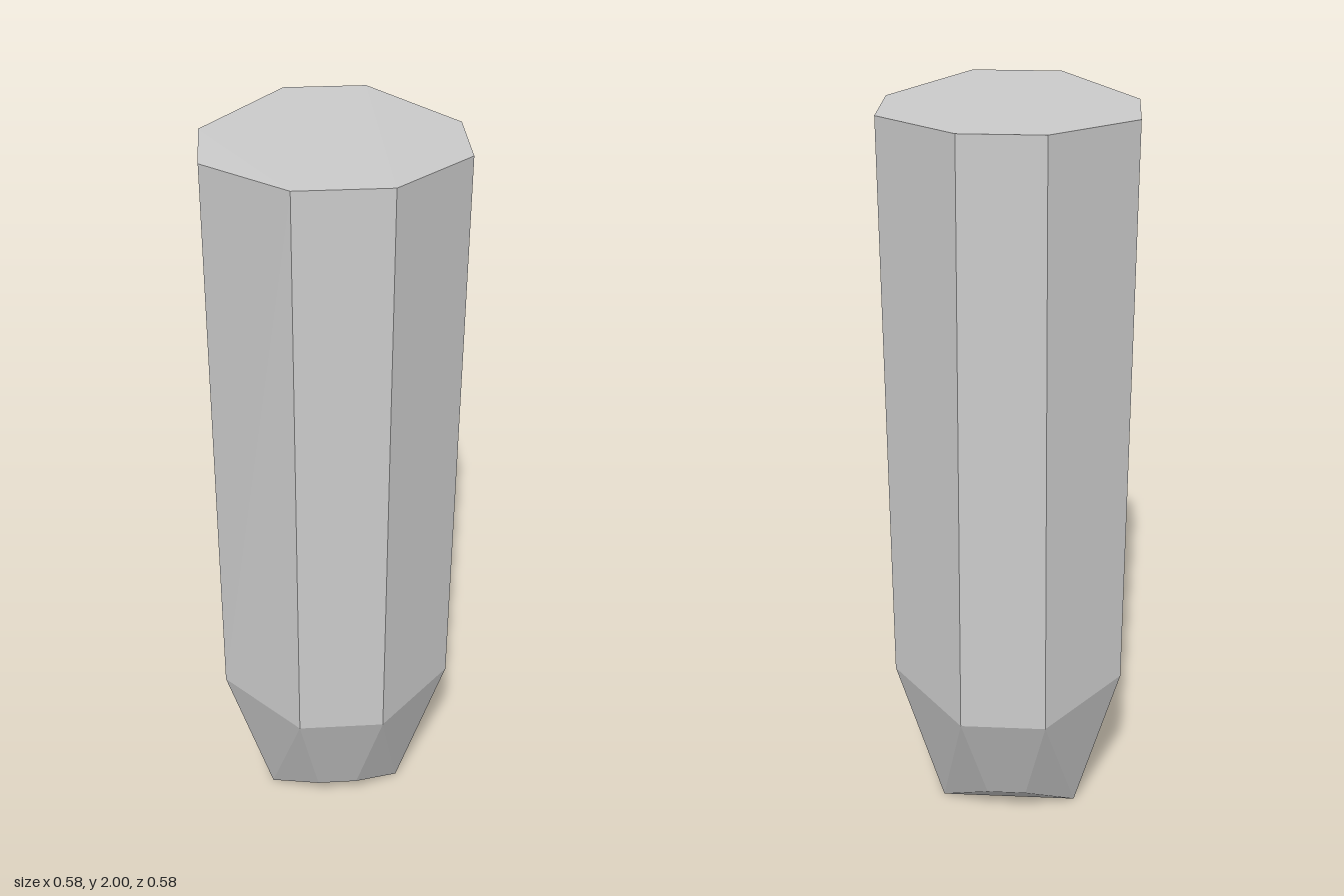
import * as THREE from 'three';
import { ConvexGeometry } from 'three/addons/geometries/ConvexGeometry.js';

// Every corner below is mirrored across the diagonal plane x = z.
function mirrored(corners) {
  return corners.flatMap(([x, y, z]) => [
    new THREE.Vector3(x, y, z),
    new THREE.Vector3(z, y, x),
  ]);
}

export function createModel() {
  const group = new THREE.Group();

  // Slightly ridged octagonal top
  const top = [
    [0.29, 2, 0.133],
    [0.284, 1.98, -0.145],
    [0.145, 1.98, -0.284],
    [-0.145, 1.995, -0.286],
  ];

  // Shoulder where the straight shaft starts to taper
  const shoulder = [
    [0.29, 0.46, 0.133],
    [0.288, 0.47, -0.143],
    [0.143, 0.47, -0.29],
    [-0.135, 0.43, -0.292],
  ];

  // Bevel corners on both sides of the tip
  const bevel = [
    [0.15, 0.1, 0.073],
    [-0.075, 0.1, -0.15],
  ];

  // Narrow flat chisel edge on the ground
  const tip = [
    [0.158, 0, -0.1],
    [0.095, 0, -0.17],
  ];

  const geometry = new ConvexGeometry(mirrored([...top, ...shoulder, ...bevel, ...tip]));
  const material = new THREE.MeshStandardMaterial({ color: 0xcccccc, flatShading: true });
  const stake = new THREE.Mesh(geometry, material);
  stake.name = 'stake';
  group.add(stake);
  return group;
}
